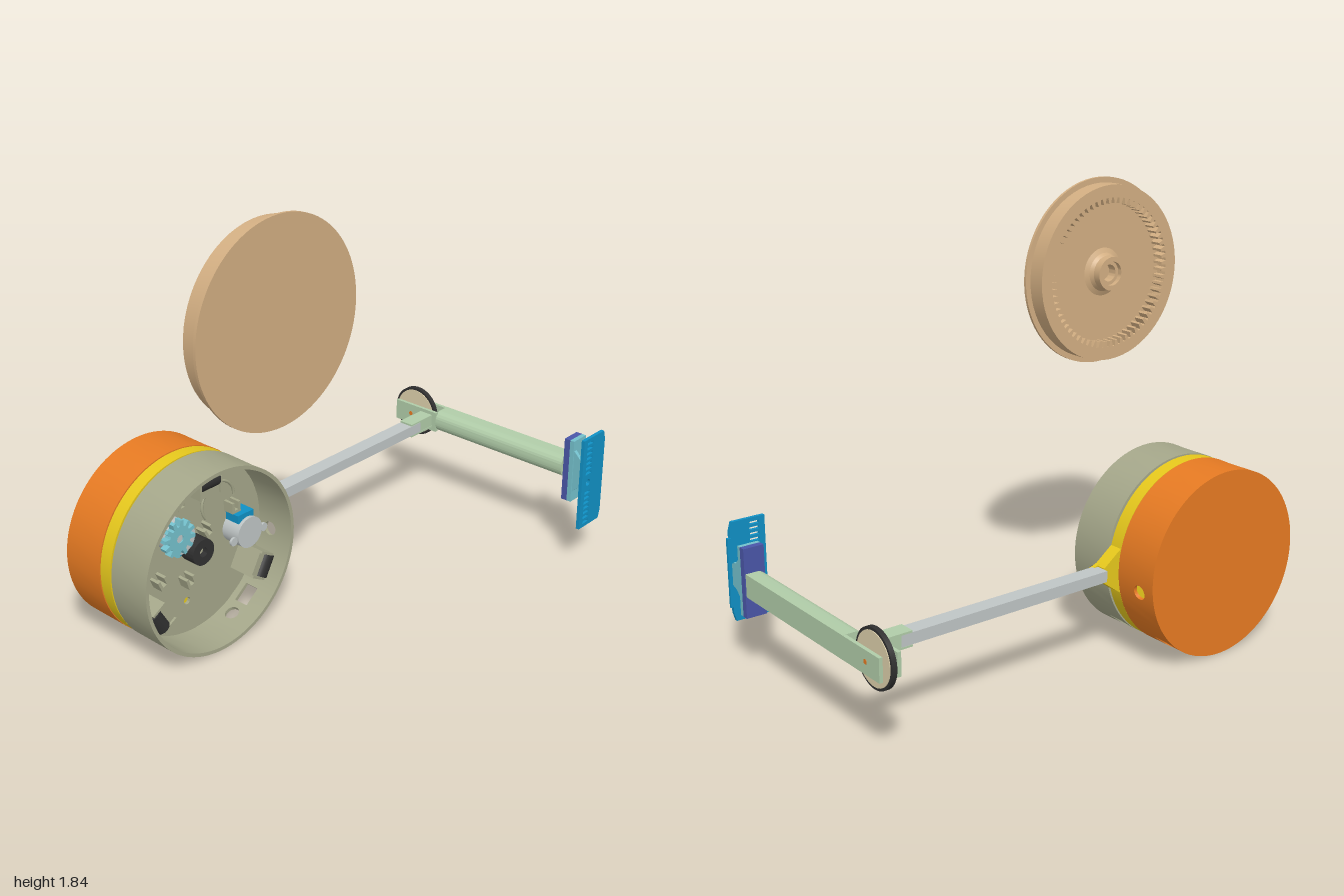
import * as THREE from 'three';
import { mergeGeometries, toCreasedNormals } from 'three/addons/utils/BufferGeometryUtils.js';

const CX = -0.613, CY = 0.39, R = 0.387, WALL = 0.015;
const C = { tan: 0xd2ae82, olive: 0xa5a78a, orange: 0xe67a22, yellow: 0xe6c81c, steel: 0xbfc5c5, green: 0xb0cca8,
  blue: 0x1090c4, cyan: 0x74c0cc, navy: 0x4a56a8, dark: 0x303030, cream: 0xdccfaa };

function add(group, name, geo, color, x = 0, y = 0, z = 0) {
  const mesh = new THREE.Mesh(geo, new THREE.MeshStandardMaterial({ color }));
  mesh.name = name;
  mesh.position.set(x, y, z);
  group.add(mesh);
  return mesh;
}
function sub(parent, name, x = 0, y = 0, z = 0) {
  const g = new THREE.Group();
  g.name = name;
  g.position.set(x, y, z);
  parent.add(g);
  return g;
}
const box = (w, h, d) => new THREE.BoxGeometry(w, h, d);
const cylZ = (r, d, n = 32, r2 = r) => new THREE.CylinderGeometry(r, r2, d, n).rotateX(Math.PI / 2);
const cylX = (r, d, n = 40) => new THREE.CylinderGeometry(r, r, d, n).rotateZ(Math.PI / 2);
const circle = (x, y, r) => new THREE.Path().absarc(x, y, r, 0, Math.PI * 2, true);
const rectPath = (x, y, w, h) => new THREE.Path([[-1, -1], [-1, 1], [1, 1], [1, -1], [-1, -1]]
  .map(([a, b]) => new THREE.Vector2(x + a * w / 2, y + b * h / 2)));
function extrude(shape, depth) {
  return toCreasedNormals(new THREE.ExtrudeGeometry(shape, { depth, bevelEnabled: false, curveSegments: 32 }), 0.5);
}
function disc(r) {
  return new THREE.Shape().absarc(0, 0, r, 0, Math.PI * 2);
}
// Toothed outline, used for the pinion and the ring gear
function gearPoints(n, r1, r2) {
  const pts = [];
  for (let i = 0; i < n; i++) {
    [[0, r1], [0.35, r1], [0.5, r2], [0.85, r2]].forEach(([t, r]) => {
      const a = (i + t) / n * Math.PI * 2;
      pts.push(new THREE.Vector2(r * Math.cos(a), r * Math.sin(a)));
    });
  }
  return pts;
}

// Cylindrical wall of curved tiles; chosen tiles carry a window
function drumWall(length, windows) {
  const tiles = [], count = 24, half = Math.PI * R / count, ri = R - WALL;
  for (let k = 0; k < count; k++) {
    const mid = (k + 0.5) * 2 * Math.PI / count, pts = [];
    for (let i = 0; i <= 4; i++) pts.push(new THREE.Vector2(-half + i * half / 2, 0));
    for (let i = 0; i <= 4; i++) pts.push(new THREE.Vector2(half - i * half / 2, length));
    const shape = new THREE.Shape(pts);
    if (windows[k] === 'round') shape.holes.push(circle(0, length * 0.4, 0.03));
    if (windows[k] === 'square') shape.holes.push(rectPath(0, length * 0.4, 0.085, 0.066));
    const geo = new THREE.ExtrudeGeometry(shape, { depth: WALL, bevelEnabled: false, curveSegments: 16 });
    const p = geo.attributes.position, n = geo.attributes.normal;
    for (let i = 0; i < p.count; i++) {
      const a = mid + p.getX(i) / R, r = ri + p.getZ(i), c = Math.cos(a), s = Math.sin(a);
      const t = n.getX(i), ax = n.getY(i), rad = n.getZ(i);
      p.setXYZ(i, r * c, r * s, p.getY(i));
      n.setXYZ(i, rad * c - t * s, rad * s + t * c, ax);
    }
    tiles.push(geo);
  }
  return mergeGeometries(tiles);
}

function buildLid(root) {
  const lid = sub(root, 'lid', -0.61, 1.453, 0);
  add(lid, 'lidFlange', cylZ(0.388, 0.012, 96), C.tan, 0, 0, 0.219);
  const ring = disc(0.365);
  ring.holes.push(new THREE.Path(gearPoints(64, 0.312, 0.288).reverse()));
  add(lid, 'ringGear', extrude(ring, 0.073), C.tan, 0, 0, 0.14);
  add(lid, 'lidFloor', cylZ(0.33, 0.023, 64), C.tan, 0, 0, 0.2015);
  const profile = [[0.11, 0.195], [0.08, 0.18], [0.07, 0.165], [0.07, 0.13], [0.05, 0.13], [0.05, 0.15], [0.035, 0.15], [0.035, 0.195]];
  const hub = new THREE.LatheGeometry(profile.map(([r, z]) => new THREE.Vector2(r, -z)), 40).rotateX(-Math.PI / 2);
  const mesh = add(lid, 'lidHub', toCreasedNormals(hub, 0.5), C.tan);
  mesh.material.side = THREE.DoubleSide;
}

function buildDrums(root) {
  const windows = { 19: 'round', 20: 'square', 23: 'round' };
  const front = sub(root, 'frontDrum', CX, CY, -0.3);
  add(front, 'frontDrumWall', drumWall(0.195, windows), C.olive);
  const floor = disc(R - 0.005);
  floor.holes.push(circle(-0.037, -0.23, 0.016));
  add(front, 'frontDrumFloor', extrude(floor, 0.015), C.olive);
  add(front, 'drumShaft', cylZ(0.065, 0.03), C.orange, 0, 0, -0.005);

  const back = sub(root, 'backDrum', CX, CY, -0.565);
  add(back, 'backDrumWall', drumWall(0.195, windows), C.orange);
  add(back, 'backDrumCap', cylZ(R - 0.001, 0.015, 96), C.orange, 0, 0, 0.0075);

  // Middle disc with its pointed arm socket
  const mid = sub(root, 'middleRing', CX, CY, 0);
  add(mid, 'middleDisc', cylZ(0.385, 0.056, 96), C.yellow, 0, 0, -0.338);
  const tab = new THREE.Shape([[0.36, -0.1], [0.385, -0.085], [0.46, -0.03], [0.458, 0.03], [0.385, 0.085], [0.36, 0.1]]
    .map(([x, y]) => new THREE.Vector2(x, y)));
  add(mid, 'armSocket', extrude(tab, 0.056), C.yellow, 0, 0, -0.366);
  const tongue = new THREE.Shape().moveTo(0.44, -0.04).lineTo(0.48, -0.025)
    .absarc(0.48, 0, 0.025, -Math.PI / 2, Math.PI / 2).lineTo(0.44, 0.04);
  tongue.holes.push(circle(0.478, 0, 0.008));
  add(mid, 'socketTongue', extrude(tongue, 0.018), C.yellow, 0, 0, -0.328);
}

function buildMechanism(root) {
  const g = sub(root, 'mechanism', CX, CY, -0.285);
  // Centre bearing
  const bearing = disc(0.055);
  bearing.holes.push(circle(0, 0, 0.02));
  add(g, 'centreBearing', extrude(bearing, 0.07), C.dark);
  add(g, 'bearingPin', cylZ(0.014, 0.05), C.olive, 0, 0, 0.025);
  // Three support rollers round the wall
  for (let i = 0; i < 3; i++) {
    const s = sub(g, 'supportRoller');
    s.rotation.z = Math.PI / 2 + i * Math.PI * 2 / 3;
    add(s, 'rollerBracket', box(0.04, 0.1, 0.12), C.olive, 0.285, 0, 0.06);
    for (const y of [-0.052, 0.052]) add(s, 'rollerCheek', box(0.07, 0.01, 0.13), C.olive, 0.3, y, 0.065);
    add(s, 'roller', new THREE.CylinderGeometry(0.036, 0.036, 0.092, 24), C.dark, 0.325, 0, 0.1);
  }
  // Drive motor with pinion
  add(g, 'driveMotor', cylZ(0.065, 0.1), C.steel, 0.14 - 0.27, 0.125, 0.05);
  add(g, 'driveMotorCap', box(0.075, 0.04, 0.07), C.blue, -0.115, 0.075, 0.05).rotation.z = 0.5;
  const gear = new THREE.Shape(gearPoints(12, 0.052, 0.076));
  gear.holes.push(circle(0, 0, 0.016));
  add(g, 'pinion', extrude(gear, 0.03), C.cyan, -0.178, 0.162, 0.115);
  add(g, 'pinionShaft', cylZ(0.016, 0.06, 16), C.steel, -0.178, 0.162, 0.11);
  // Second motor
  add(g, 'sideMotor', cylZ(0.066, 0.09), C.steel, 0.232, 0, 0.045);
  add(g, 'sideMotorCap', box(0.085, 0.035, 0.07), C.blue, 0.225, 0.068, 0.04);
  for (const s of [-1, 1]) add(g, 'motorLug', cylZ(0.018, 0.01, 16), C.steel, 0.232 + s * 0.082, -0.012, 0.08);
  // Wires and cable guide
  [[-0.13, 0xd04020], [-0.115, 0xe0a020], [-0.1, 0x802818]].forEach(([x, color], i) => {
    const curve = new THREE.CatmullRomCurve3([[x, 0.08, 0.05], [x + 0.02, 0.05, 0.07], [x + 0.05, 0.07 + i * 0.01, 0.01]]
      .map(p => new THREE.Vector3(...p)));
    add(g, 'wire', new THREE.TubeGeometry(curve, 12, 0.004, 6), color);
  });
  add(g, 'cableGuide', new THREE.TorusGeometry(0.085, 0.006, 8, 32, Math.PI * 1.2), C.olive, 0.13, 0.155, 0.02);
  // Small clips
  [[-0.22, 0.23, 0.3], [-0.075, 0.23, 0], [-0.26, 0.09, 0.6], [-0.19, -0.065, 0.4], [-0.05, -0.12, 0.3], [0.055, 0.06, 0.5], [0.2, 0.11, 0]]
    .forEach(([x, y, r]) => {
      const clip = sub(g, 'clip', x, y, 0);
      clip.rotation.z = r;
      for (const s of [-1, 1]) add(clip, 'clipSide', box(0.012, 0.045, 0.05), C.olive, s * 0.016, 0, 0.025);
      add(clip, 'clipBase', box(0.044, 0.012, 0.05), C.olive, 0, -0.017, 0.025);
    });
}

function buildArms(root) {
  add(root, 'longBar', box(0.975, 0.046, 0.068), C.steel, 0.333, 0.393, -0.35);
  // Elbow bracket clasping the end of the bar
  for (const s of [-1, 1]) add(root, 'elbowCheek', box(0.15, 0.008, 0.068), C.green, 0.835, 0.393 + s * 0.027, -0.351);
  add(root, 'elbowBlock', box(0.105, 0.06, 0.066), C.green, 0.86, 0.393, -0.352);
  // Cross arm, rounded on the inner side and forked at the back
  const section = new THREE.Shape().moveTo(0.995, 0.345).lineTo(0.995, 0.44).lineTo(0.945, 0.44)
    .absarc(0.945, 0.4, 0.04, Math.PI / 2, Math.PI).lineTo(0.905, 0.385).absarc(0.945, 0.385, 0.04, Math.PI, Math.PI * 1.5);
  add(root, 'crossArm', extrude(section, 0.7), C.green, 0, 0, -0.3);
  for (const x of [0.9125, 0.9875]) add(root, 'forkProng', box(0.015, 0.094, 0.235), C.green, x, 0.3925, -0.4125);
  add(root, 'guideWheelTyre', cylX(0.115, 0.02, 64), C.dark, 0.95, 0.395, -0.443);
  add(root, 'guideWheelDisc', cylX(0.104, 0.026, 64), C.cream, 0.95, 0.395, -0.443);
  add(root, 'wheelAxle', cylX(0.01, 0.092, 16), C.orange, 0.95, 0.395, -0.443);
}

function buildHead(root) {
  const head = sub(root, 'sensorHead', 0.95, 0.395, 0);
  add(head, 'mountPlate', box(0.088, 0.288, 0.028), C.navy, 0, 0, 0.424);
  add(head, 'mountPad', box(0.088, 0.288, 0.02), C.cyan, 0, 0, 0.448);
  // Sloping hinge cheeks, profile in z and y
  const cheek = new THREE.Shape([[0.455, -0.1], [0.5, -0.055], [0.53, -0.045], [0.53, 0.045], [0.5, 0.055], [0.455, 0.1]]
    .map(([z, y]) => new THREE.Vector2(-z, y)).reverse());
  const cheekGeo = extrude(cheek, 0.016).rotateY(Math.PI / 2);
  for (const x of [-0.038, 0.018]) add(head, 'hingeCheek', cheekGeo, C.cyan, x, 0, 0);
  for (const y of [-0.045, 0, 0.045]) add(head, 'hingeRib', box(0.06, 0.012, 0.07), C.cyan, 0, y, 0.488);
  add(head, 'hingePin', new THREE.CylinderGeometry(0.022, 0.022, 0.12, 24), C.cyan, 0, 0, 0.498);
  for (const y of [-0.026, 0.026]) add(head, 'hingeKnuckle', box(0.045, 0.02, 0.07), C.blue, -0.005, y, 0.52);
  add(head, 'hingeBack', box(0.016, 0.29, 0.012), C.blue, 0.034, 0, 0.548);
  // Face plate with a column of slots
  const plate = new THREE.Shape([[-0.126, -0.208], [0.018, -0.208], [0.029, -0.17], [0.029, 0.17], [0.018, 0.208], [-0.126, 0.208]]
    .map(([x, y]) => new THREE.Vector2(x, y)));
  for (let i = -8; i <= 8; i++) if (Math.abs(i) > 1) plate.holes.push(rectPath(-0.08, i * 0.0232, 0.042, 0.012));
  plate.holes.push(circle(-0.08, 0, 0.015));
  add(head, 'facePlate', extrude(plate, 0.015), C.blue, 0, 0, 0.547);
}

export function createModel() {
  const root = new THREE.Group();
  root.name = 'explodedDrumAssembly';
  buildLid(root);
  buildDrums(root);
  buildMechanism(root);
  buildArms(root);
  buildHead(root);
  return root;
}
